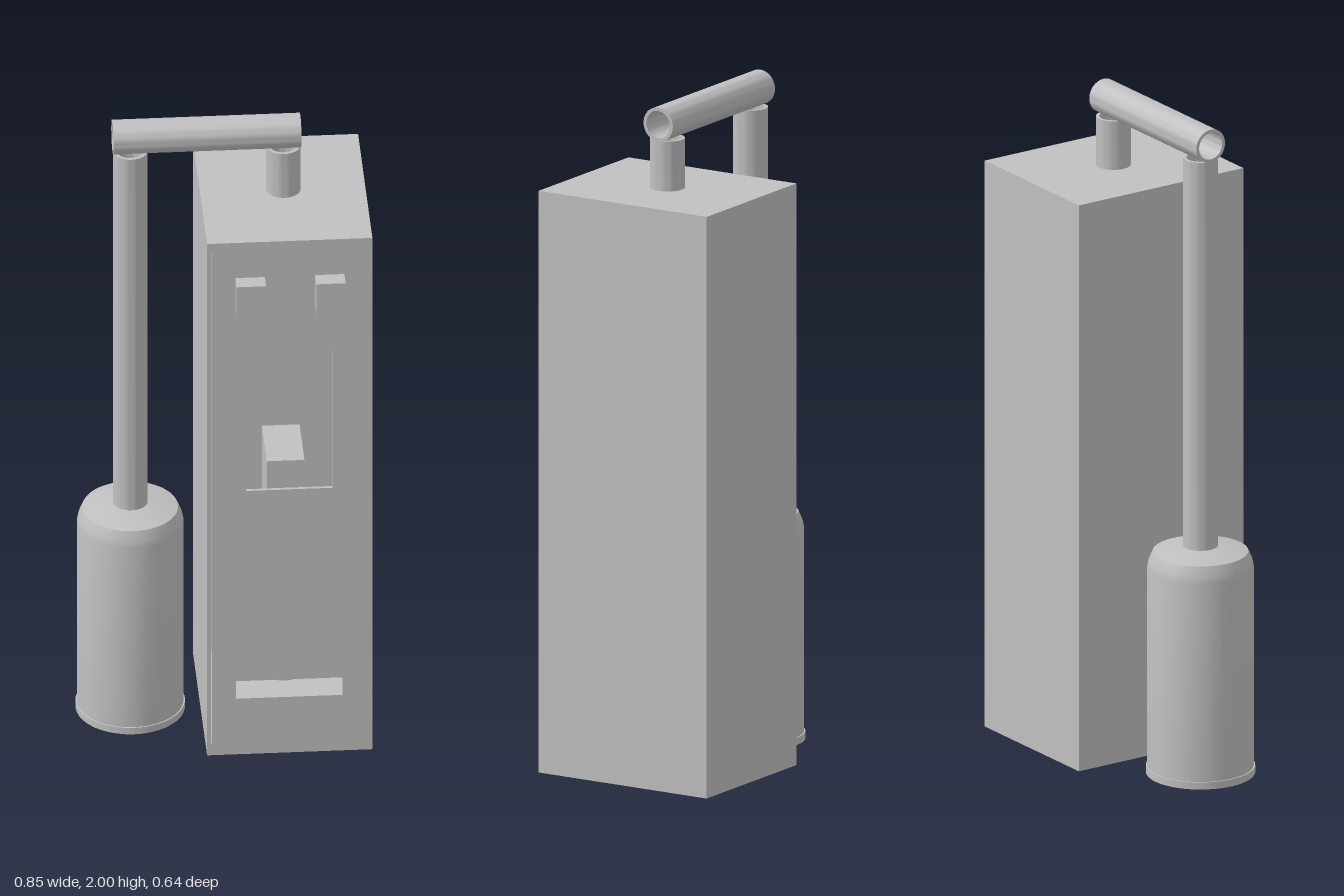
import * as THREE from 'three';
import { toCreasedNormals } from 'three/addons/utils/BufferGeometryUtils.js';

export function createModel() {
  const model = new THREE.Group();
  const steel = new THREE.MeshStandardMaterial({ color: 0xc0c0c0 });
  steel.name = 'grey steel';

  const add = (name, geometry, x = 0, y = 0, z = 0) => {
    const mesh = new THREE.Mesh(geometry, steel);
    mesh.name = name;
    mesh.position.set(x, y, z);
    model.add(mesh);
    return mesh;
  };
  // Box given by its two extreme corners
  const block = (name, [x0, y0, z0], [x1, y1, z1]) =>
    add(name, new THREE.BoxGeometry(x1 - x0, y1 - y0, z1 - z0),
      (x0 + x1) / 2, (y0 + y1) / 2, (z0 + z1) / 2);
  // Turned part with sharp profile corners
  const turned = (profile) => toCreasedNormals(
    new THREE.LatheGeometry(profile.map(([r, y]) => new THREE.Vector2(r, y)), 40), 0.35);
  // Open tube with wall thickness
  const pipe = (length, outer = 0.051, inner = 0.041) => turned(
    [[inner, 0], [outer, 0], [outer, length], [inner, length], [inner, 0]]);
  const rect = (target, x0, y0, x1, y1) => {
    target.moveTo(x0, y0).lineTo(x1, y0).lineTo(x1, y1).lineTo(x0, y1).closePath();
    return target;
  };

  // Hollow cabinet
  const L = -0.062, R = 0.422, H = 1.75, B = -0.32, F = 0.264, t = 0.01;
  block('cabinetLeftWall', [R - t, 0, B], [R, H, F - t]);
  block('cabinetRightWall', [L, 0, B], [L + t, H, F - t]);
  block('cabinetBack', [L + t, 0, B], [R - t, H, B + t]);
  block('cabinetFloor', [L + t, 0, B + t], [R - t, t, F - t]);
  block('cabinetTop', [L + t, H - t, B + t], [R - t, H, F - t]);

  // Front panel with window, slot and narrow door seam
  const front = rect(new THREE.Shape(), L, 0, R, H);
  front.holes.push(
    rect(new THREE.Path(), 0.052, 0.9, 0.305, 1.37),
    rect(new THREE.Path(), 0.022, 0.19, 0.335, 0.25),
    rect(new THREE.Path(), -0.051, 0.04, -0.048, 1.72));
  add('frontPanel', new THREE.ExtrudeGeometry(front, { depth: t, bevelEnabled: false }), 0, 0, F - t);

  // Control blocks
  for (const x of [0.021, 0.254])
    block('controlBlock', [x, 1.525, F], [x + 0.086, 1.63, 0.316]);

  // Inner chamber and its outlet
  const pz = -0.029;
  block('innerChamber', [0.127, 0.3, -0.13], [0.237, 0.88, 0.07]);
  add('chamberOutlet', pipe(0.2, 0.055, 0.045), 0.182, 0.1, pz);

  // Pipework
  const tankX = -0.266;
  add('cabinetPipe', pipe(0.15), 0.182, 1.75, pz);
  add('tankPipe', pipe(1.2), tankX, 0.7, pz);
  add('crossPipe', pipe(0.55), 0.232, 1.949, pz).rotation.z = Math.PI / 2;

  // Tank with foot rim, chamfered shoulder and shallow lid
  add('tank', turned([[0, 0], [0.16, 0], [0.16, 0.022], [0.156, 0.022], [0.156, 0.635],
    [0.152, 0.655], [0.14, 0.683], [0.095, 0.693], [0.04, 0.702], [0, 0.702]]), tankX, 0, pz);

  return model;
}
